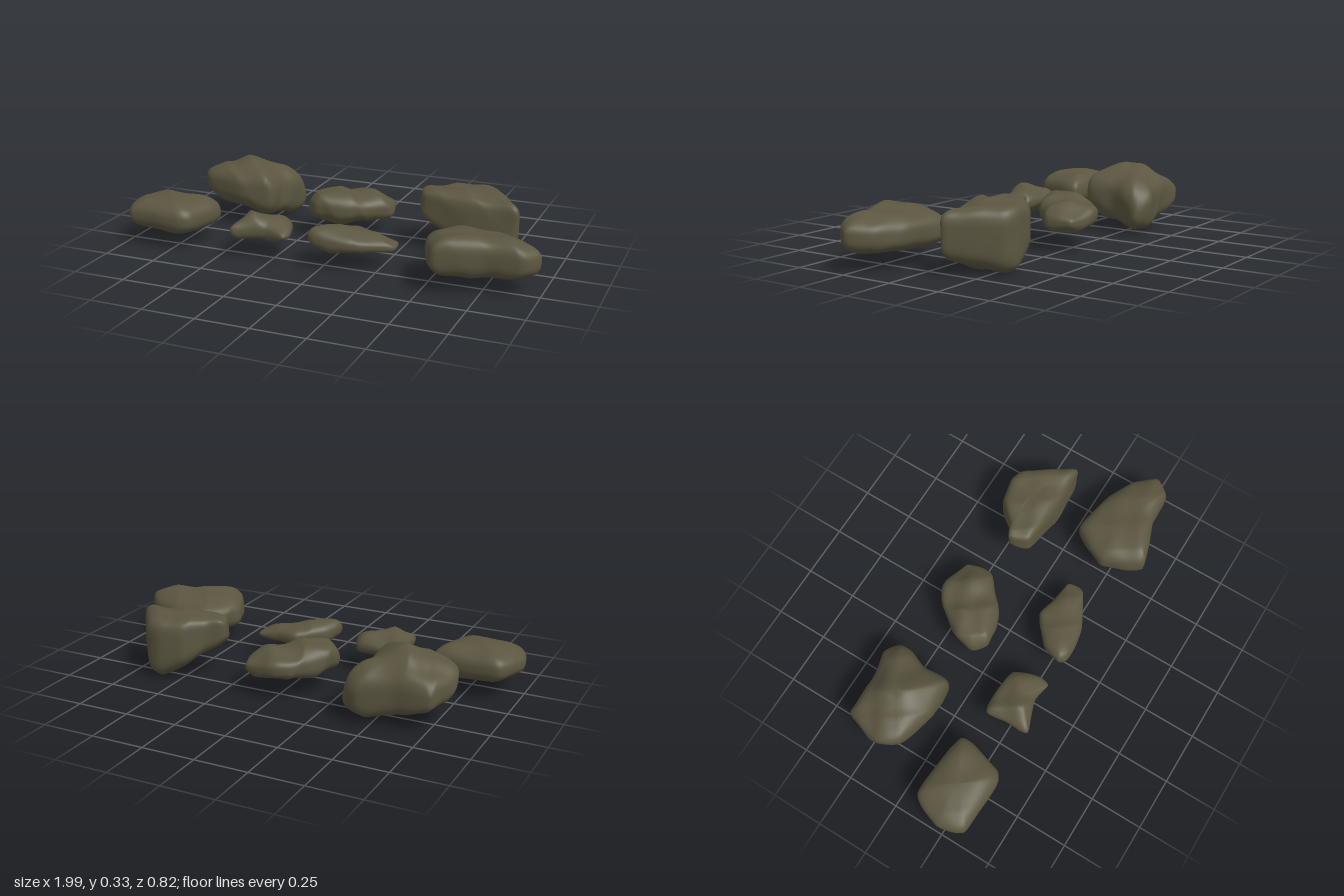
import * as THREE from 'three';

const stone = new THREE.MeshStandardMaterial({ color: 0x5b5640 });
stone.name = 'mossy stone';

const SEG = 88, ROWS = 40;

// Layered waves and folded ridges that give the stone its dents and creases
function lumps(x, y, z, seed) {
  return 0.7 * Math.sin(13 * x + 7 * z + seed) * Math.cos(15 * z - 6 * y + seed * 2)
    + 0.5 * Math.sin(27 * x - 19 * z + 11 * y + seed * 3)
    + 0.35 * Math.sin(41 * z + 33 * y + 17 * x + seed)
    + 1.1 * (0.6 - Math.abs(Math.sin(19 * x + 16 * y - 14 * z + seed * 5)));
}

// One boulder: a plan outline swept over a rounded section between a top and a bottom plane.
// top, bottom: [height at the centre, slope along x, slope along z]
// square: how boxy the section is; peak: extra height mid crown; keel: V slope of the underside
function boulder(name, outline, { top, bottom, square, rough, seed, peak = 0, keel = 0 }) {
  const corners = outline.map(([x, z]) => new THREE.Vector3(x, 0, z));
  const ring = new THREE.CatmullRomCurve3(corners, true, 'catmullrom', 0.25).getSpacedPoints(SEG).slice(0, SEG);
  const centre = new THREE.Box3().setFromPoints(corners).getCenter(new THREE.Vector3());
  const pos = [], index = [];

  const addPoint = (px, pz, spread, rise) => {
    const dx = (px - centre.x) * spread, dz = (pz - centre.z) * spread;
    const hi = top[0] + top[1] * dx + top[2] * dz + peak * Math.exp(-(dx * dx + dz * dz) / 0.015);
    const lo = bottom[0] + bottom[1] * dx + bottom[2] * dz + keel * Math.abs(dx - 0.04);
    const y = (hi + lo) / 2 + rise * (hi - lo) / 2;
    const n = rough * lumps(centre.x + dx, y, centre.z + dz, seed);
    const pinch = 1 + n * 1.8 * spread;
    pos.push(centre.x + dx * pinch, Math.max(y + n * 0.6 * rise, 0), centre.z + dz * pinch);
  };

  // rings from the underside to the crown, then the two poles
  for (let j = 1; j < ROWS; j++) {
    const a = -Math.PI / 2 + Math.PI * j / ROWS;
    const spread = Math.cos(a) ** (2 / square);
    const rise = Math.sign(Math.sin(a)) * Math.abs(Math.sin(a)) ** (2 / square);
    for (const p of ring) addPoint(p.x, p.z, spread, rise);
  }
  addPoint(centre.x, centre.z, 0, -1);
  addPoint(centre.x, centre.z, 0, 1);

  const under = (ROWS - 1) * SEG, crown = under + 1, last = (ROWS - 2) * SEG;
  for (let i = 0; i < SEG; i++) {
    const k = (i + 1) % SEG;
    for (let j = 0; j < ROWS - 2; j++) {
      const a = j * SEG + i, b = j * SEG + k;
      index.push(a, a + SEG, b, b, a + SEG, b + SEG);
    }
    index.push(under, i, k, crown, last + k, last + i);
  }
  const geo = new THREE.BufferGeometry();
  geo.setAttribute('position', new THREE.Float32BufferAttribute(pos, 3));
  geo.setIndex(index);
  geo.computeVertexNormals();
  const mesh = new THREE.Mesh(geo, stone);
  mesh.name = name;
  return mesh;
}

export function createModel() {
  const group = new THREE.Group();
  group.name = 'rocks';

  // back row
  group.add(boulder('backRightBoulder',
    [[-.78, -.38], [-.61, -.38], [-.45, -.41], [-.37, -.36], [-.41, -.2], [-.43, -.07], [-.59, -.05], [-.77, -.1], [-.83, -.2]],
    { top: [0.275, 0, 0.14], bottom: [0.06, -0.2, 0.2], square: 3, rough: 0.013, seed: 1.3, peak: 0.04 }));
  group.add(boulder('backMiddleRock',
    [[-.09, -.33], [-.02, -.36], [.14, -.33], [.15, -.2], [0, -.06], [-.16, -.02], [-.22, -.08], [-.21, -.17]],
    { top: [0.22, -0.12, 0.05], bottom: [0.083, 0, 0], square: 2.7, rough: 0.019, seed: 4.1, peak: 0.01 }));
  group.add(boulder('backLeftBoulder',
    [[.31, -.2], [.38, -.24], [.47, -.33], [.58, -.36], [.66, -.33], [.8, -.13], [.78, -.1], [.56, -.09], [.35, -.11]],
    { top: [0.293, -0.04, 0], bottom: [0.01, -0.15, 0], square: 5, rough: 0.008, seed: 2.2, keel: 0.45 }));

  // front row
  group.add(boulder('frontRightSlab',
    [[-.92, .08], [-.6, .11], [-.64, .32], [-.7, .36], [-.95, .35], [-1, .23]],
    { top: [0.23, 0, 0], bottom: [0.065, -0.06, 0], square: 2.5, rough: 0.006, seed: 0.4 }));
  group.add(boulder('smallJaggedRock',
    [[-.44, .14], [-.34, .12], [-.21, .15], [-.16, .27], [-.17, .32], [-.27, .3], [-.42, .35], [-.43, .23]],
    { top: [0.178, -0.08, 0], bottom: [0.083, 0, 0], square: 2.3, rough: 0.019, seed: 2.7, peak: 0.025 }));
  group.add(boulder('lowTaperedRock',
    [[.1, .1], [.2, .12], [.32, .13], [.32, .21], [.14, .31], [-.02, .33], [-.06, .3], [-.02, .2]],
    { top: [0.178, -0.18, 0], bottom: [0.078, 0, 0], square: 2.5, rough: 0.013, seed: 3.5 }));
  group.add(boulder('frontLeftSlab',
    [[.56, .05], [.62, .04], [.8, .08], [.92, .14], [1, .24], [.93, .32], [.78, .33], [.56, .4], [.47, .22]],
    { top: [0.245, -0.02, 0.12], bottom: [0.068, 0, -0.03], square: 3, rough: 0.007, seed: 6.1 }));

  return group;
}
